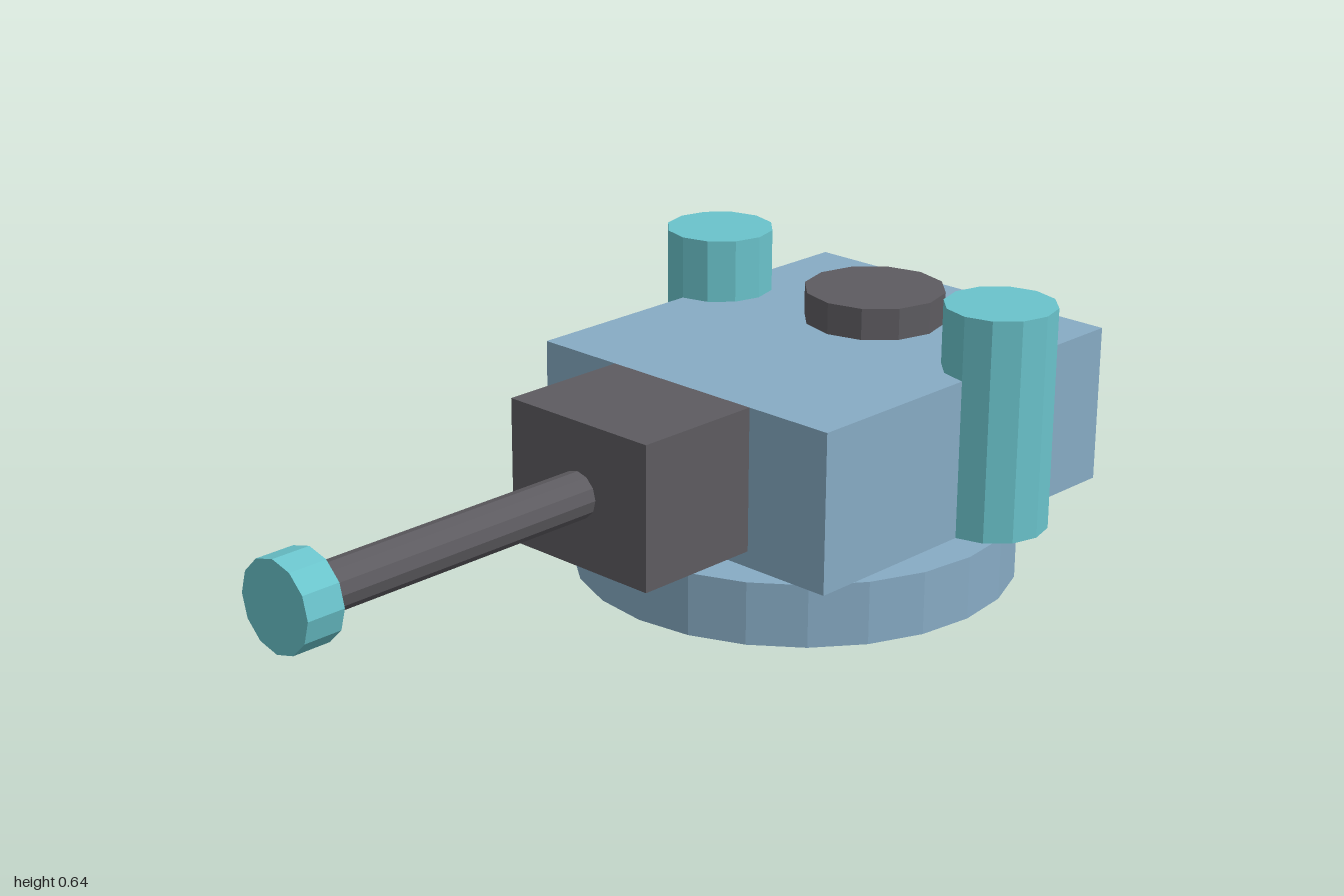
import * as THREE from 'three';

export function createModel() {
  const group = new THREE.Group();
  const paint = (name, color) => {
    const m = new THREE.MeshStandardMaterial({ color, flatShading: true });
    m.name = name;
    return m;
  };
  const blue = paint('steel blue', 0x87abc4);
  const dark = paint('dark grey', 0x5d5b60);
  const teal = paint('teal', 0x6ac3cb);

  const add = (name, geometry, material, x, y, z) => {
    const mesh = new THREE.Mesh(geometry, material);
    mesh.name = name;
    mesh.position.set(x, y, z);
    group.add(mesh);
    return mesh;
  };
  // Box and upright cylinder given by their vertical extents
  const box = (name, mat, w, y0, y1, z0, z1) =>
    add(name, new THREE.BoxGeometry(w, y1 - y0, z1 - z0), mat, 0, (y0 + y1) / 2, (z0 + z1) / 2);
  const post = (name, mat, r, sides, x, z, y0, y1) =>
    add(name, new THREE.CylinderGeometry(r, r, y1 - y0, sides), mat, x, (y0 + y1) / 2, z);
  // Cylinder lying along z, on the gun axis
  const rod = (name, mat, r, z0, z1) => {
    const geo = new THREE.CylinderGeometry(r, r, z1 - z0, 12).rotateX(Math.PI / 2);
    return add(name, geo, mat, 0, 0.336, (z0 + z1) / 2);
  };

  // Turntable and turret body
  post('turntable', blue, 0.491, 24, 0, -0.45, 0, 0.141);
  box('turretBody', blue, 0.808, 0.141, 0.495, -1, -0.084);

  // Gun
  box('gunMantlet', dark, 0.388, 0.177, 0.495, -0.084, 0.217);
  rod('barrel', dark, 0.051, 0.21, 0.92);
  rod('muzzle', teal, 0.097, 0.912, 1);

  // Roof hatch and side drums
  post('hatch', dark, 0.158, 12, 0, -0.703, 0.49, 0.566);
  for (const [name, side] of [['leftDrum', 1], ['rightDrum', -1]]) {
    post(name, teal, 0.122, 12, side * 0.404, -0.632, 0.141, 0.637);
  }
  return group;
}
